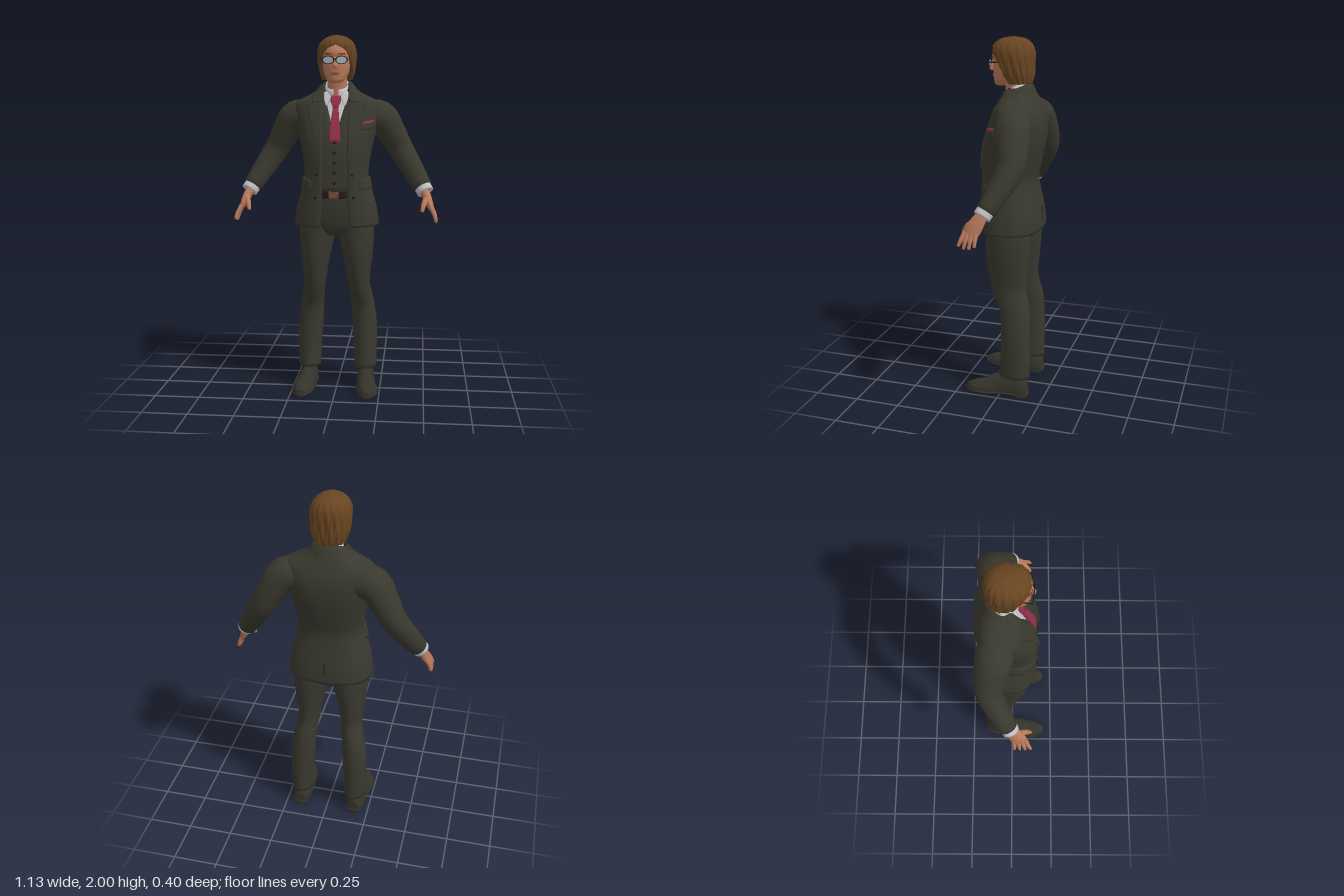
import * as THREE from 'three';
import { mergeVertices } from 'three/addons/utils/BufferGeometryUtils.js';

const mat = (name, color, side = THREE.FrontSide) => {
  const m = new THREE.MeshStandardMaterial({ color, side });
  m.name = name;
  return m;
};

export function createModel() {
  const man = new THREE.Group();
  man.name = 'suitedMan';
  const D = THREE.DoubleSide;
  const suit = mat('suit cloth', 0x3a392f, D), leather = mat('shoe leather', 0x34332b);
  const white = mat('shirt', 0xc2c3c5, D), red = mat('tie', 0x93304a, D);
  const skin = mat('skin', 0xbb7a5c, D), brown = mat('hair', 0x694521, D);
  const glass = mat('lens', 0xa9b1ba, D), dark = mat('dark trim', 0x211f1c, D);
  const strap = mat('belt', 0x7d4d3a, D), lip = mat('lips', 0x955a48, D);

  const add = (name, geo, material, x = 0, y = 0, z = 0) => {
    const m = new THREE.Mesh(geo, material);
    m.name = name;
    m.position.set(x, y, z);
    man.add(m);
    return m;
  };

  // Skin a grid of points: rows run along the part, columns run around it
  const grid = (name, rows, material) => {
    const n = rows[0].length, idx = [];
    for (let i = 0; i < rows.length - 1; i++) for (let j = 0; j < n - 1; j++) {
      const a = i * n + j, b = a + 1, c = a + n, d = c + 1;
      idx.push(a, b, c, b, d, c);
    }
    let g = new THREE.BufferGeometry().setFromPoints(rows.flat());
    g.setIndex(idx);
    g = mergeVertices(g, 1e-5);
    g.computeVertexNormals();
    return add(name, g, material);
  };

  // Tapered limb through [x, y, z, radiusU, radiusV] stations
  const limb = (name, pts, material, { s = 1, ref = new THREE.Vector3(0, 0, 1), floor = -1, n = 20, per = 5 } = {}) => {
    const path = new THREE.CatmullRomCurve3(pts.map(p => new THREE.Vector3(p[0] * s, p[1], p[2])));
    const rad = new THREE.CatmullRomCurve3(pts.map(p => new THREE.Vector3(p[3], p[4] ?? p[3], 0)), false, 'catmullrom');
    const rows = [], N = (pts.length - 1) * per;
    const ring = (f, k) => {
      const c = path.getPoint(f), r = rad.getPoint(f), t = path.getTangent(f);
      const u = t.clone().cross(ref).normalize(), v = t.clone().cross(u);
      rows.push(Array.from({ length: n + 1 }, (_, j) => {
        const a = (j % n) / n * Math.PI * 2;
        const p = c.clone().addScaledVector(u, Math.cos(a) * r.x * k).addScaledVector(v, Math.sin(a) * r.y * k);
        p.y = Math.max(p.y, floor);
        return p;
      }));
    };
    ring(0, 0); ring(0, 0.8);
    for (let i = 0; i <= N; i++) ring(i / N, 1);
    ring(1, 0.75); ring(1, 0);
    return grid(name, rows, material);
  };

  // Upright body surface from [y, halfWidth, zFront, zBack] sections
  const surface = (table, n) => {
    const f = new THREE.CubicInterpolant(table.map(r => r[0]), new Float32Array(table.flatMap(r => r.slice(1))), 3);
    const pw = (v) => Math.sign(v) * Math.abs(v) ** (2 / n);
    return {
      point(t, y, d = 0) {
        const [w, a, b] = f.evaluate(y);
        return new THREE.Vector3(Math.max(w + d, 0) * pw(Math.sin(t)), y, (a + b) / 2 + Math.max((a - b) / 2 + d, 0) * pw(Math.cos(t)));
      },
      angle(x, y) {
        const w = f.evaluate(y)[0];
        return Math.sign(x) * Math.asin(Math.min(1, Math.abs(x) / w) ** (n / 2));
      },
    };
  };

  // Wrap around a surface, open at the front by angle open(y), with turned-in edges
  const shell = (name, surf, y0, y1, d, material, { open = null, ripple = null, lipIn = 0.015, N = 36, C = 56 } = {}) => {
    const row = (y, off) => {
      const a = open ? open(y) : 0, r = [];
      for (let j = 0; j <= C; j++) {
        const t = a + (Math.PI * 2 - 2 * a) * j / C;
        r.push(surf.point(t, y, off + (ripple ? ripple(t, y) : 0)));
      }
      if (open) {
        r.unshift(surf.point(a, y, off - lipIn));
        r.push(surf.point(-a, y, off - lipIn));
      }
      return r;
    };
    const rows = [row(y0, d - lipIn)];
    for (let i = 0; i <= N; i++) rows.push(row(y0 + (y1 - y0) * i / N, d));
    return grid(name, rows, material);
  };

  // Thin panel lying on a surface; rows are [y, x0, x1, y at x1], upwards
  const patch = (name, surf, rows, d, material, s = 1, thick = 0.008) => {
    if (s < 0) rows = rows.map(([y, a, b, y2 = y]) => [y2, -b, -a, y]);
    const fine = [];
    rows.forEach((r, i) => {
      const q = rows[i + 1], full = ([y, a, b, y2 = y]) => [y, a, b, y2];
      if (!q) return fine.push(full(r));
      for (let k = 0; k < 4; k++) fine.push(full(r).map((v, m) => v + (full(q)[m] - v) * k / 4));
    });
    const line = ([y, a, b, y2], off) => {
      const t0 = surf.angle(a, y), t1 = surf.angle(b, y2), r = [];
      for (let j = 0; j <= 8; j++) r.push(surf.point(t0 + (t1 - t0) * j / 8, y + (y2 - y) * j / 8, off));
      return [surf.point(t0, y, d - thick), ...r, surf.point(t1, y2, d - thick)];
    };
    const low = d - thick;
    return grid(name, [line(fine[0], low), ...fine.map(r => line(r, d)), line(fine.at(-1), low)], material);
  };

  // Torso: jacket, waistcoat and shirt share one form
  const torso = surface([
    [0.955, 0.237, 0.142, -0.192], [1.05, 0.224, 0.143, -0.186], [1.15, 0.198, 0.143, -0.168],
    [1.24, 0.178, 0.143, -0.156], [1.35, 0.19, 0.14, -0.176], [1.45, 0.212, 0.122, -0.195],
    [1.55, 0.232, 0.086, -0.197], [1.61, 0.243, 0.06, -0.183], [1.645, 0.222, 0.045, -0.167],
    [1.67, 0.165, 0.033, -0.155], [1.70, 0.115, 0.02, -0.14], [1.735, 0.088, 0.005, -0.125]], 2.5);
  const jacketEdge = y => torso.angle(y > 1.2 ? 0.072 : 0.072 + 0.25 * (1.2 - y) ** 2, y);
  shell('jacket', torso, 0.955, 1.735, 0, suit, { open: jacketEdge, N: 50 });
  shell('waistcoat', torso, 1.16, 1.69, -0.01, suit, { open: y => torso.angle(Math.max(0, (y - 1.44) * 0.3), y) });
  shell('shirt', torso, 1.4, 1.72, -0.022, white);
  patch('tieBlade', torso, [[1.42, -0.03, 0.03], [1.5, -0.028, 0.028], [1.61, -0.015, 0.015]], -0.004, red, 1, 0.018);
  patch('tieKnot', torso, [[1.605, -0.014, 0.014], [1.64, -0.028, 0.028], [1.67, -0.028, 0.028]], 0.002, red, 1, 0.02);
  patch('backVent', torso, [[0.957, -0.002, 0.002], [1.08, -0.002, 0.002]], 0.001, dark).rotation.y = 0;
  man.children.at(-1).geometry.dispose();
  man.children.at(-1).geometry = new THREE.BoxGeometry(0.005, 0.12, 0.005).translate(0, 1.02, -0.187);

  const button = (x, y, d) => {
    const p = torso.point(torso.angle(x, y), y, d);
    add('button', new THREE.SphereGeometry(0.009, 10, 8), dark, p.x, p.y, p.z).scale.z = 0.5;
  };
  for (let i = 0; i < 5; i++) button(0, 1.2 + i * 0.055, -0.008);

  // Collars: tilted bands round the neck
  const collar = (name, sections, open, material) => grid(name, sections.map(([y, rx, rz, zc, tilt]) =>
    Array.from({ length: 33 }, (_, j) => {
      const t = open + (Math.PI * 2 - 2 * open) * j / 32;
      return new THREE.Vector3(rx * Math.sin(t), y - tilt * Math.cos(t), zc + rz * Math.cos(t));
    })), material);
  collar('shirtCollar', [[1.68, 0.078, 0.068, -0.034, 0.035], [1.715, 0.07, 0.066, -0.034, 0.035], [1.735, 0.064, 0.062, -0.03, 0.033], [1.72, 0.058, 0.056, -0.03, 0.033]], 0.2, white);
  collar('jacketCollar', [[1.67, 0.118, 0.095, -0.058, 0.02], [1.70, 0.108, 0.085, -0.053, 0.025], [1.73, 0.089, 0.075, -0.045, 0.03], [1.715, 0.08, 0.066, -0.045, 0.03]], 0.8, suit);

  // Trousers seat, belt and buckle
  const hips = surface([[0.9, 0.1, 0.07, -0.13], [0.94, 0.17, 0.095, -0.148], [1.0, 0.195, 0.112, -0.155],
    [1.07, 0.19, 0.122, -0.152], [1.13, 0.172, 0.125, -0.14], [1.2, 0.16, 0.125, -0.135]], 2.4);
  shell('trouserSeat', hips, 0.9, 1.2, 0, suit, { lipIn: 0.09 });
  shell('belt', hips, 1.115, 1.155, 0.006, dark, { N: 3 });
  patch('beltFront', hips, [[1.117, -0.03, 0.022], [1.153, -0.03, 0.022]], 0.009, strap);
  add('buckle', new THREE.TorusGeometry(0.022, 0.004, 6, 4, Math.PI * 2).rotateZ(Math.PI / 4), strap, -0.004, 1.135, 0.137);

  for (const s of [1, -1]) {
    // Jacket fronts
    patch('lapel', torso, [[1.29, 0.071, 0.074], [1.4, 0.07, 0.1], [1.5, 0.07, 0.125], [1.6, 0.07, 0.153], [1.632, 0.07, 0.16]], 0.009, suit, s);
    patch('collarLeaf', torso, [[1.64, 0.07, 0.125, 1.625], [1.67, 0.067, 0.13], [1.7, 0.066, 0.105], [1.725, 0.064, 0.088]], 0.008, suit, s);
    patch('pocketFlap', torso, [[1.16, 0.13, 0.21, 1.168], [1.215, 0.13, 0.21, 1.228]], 0.008, suit, s);
    patch('shirtCollarPoint', torso, [[1.615, 0.05, 0.054], [1.645, 0.034, 0.066], [1.69, 0.012, 0.074]], -0.006, white, s, 0.014);
    button(0.096 * s, 1.245, 0.002);
    button(0.105 * s, 1.12, 0.002);

    // Sleeve, cuff and hand
    limb('sleeve', [[0.15, 1.555, -0.075, 0.085, 0.095], [0.235, 1.55, -0.088, 0.094, 0.098], [0.3, 1.465, -0.107, 0.08, 0.088],
      [0.355, 1.37, -0.115, 0.07, 0.074], [0.42, 1.265, -0.075, 0.062, 0.062], [0.48, 1.165, -0.022, 0.053, 0.052]], suit, { s });
    limb('shirtCuff', [[0.474, 1.176, -0.026, 0.047], [0.496, 1.14, -0.006, 0.047]], white, { s });
    limb('hand', [[0.484, 1.155, -0.012, 0.027, 0.03], [0.506, 1.11, 0.014, 0.024, 0.04], [0.522, 1.07, 0.035, 0.019, 0.044], [0.532, 1.047, 0.046, 0.012, 0.038]], skin, { s });
    for (let i = -1.5; i < 2; i++)
      limb('finger', [[0.526, 1.066, 0.042 + i * 0.021, 0.012], [0.547, 1.022, 0.052 + i * 0.025, 0.011],
        [0.556, 0.975 + 0.012 * Math.abs(i), 0.058 + i * 0.029, 0.008]], skin, { s, n: 10 });
    limb('thumb', [[0.502, 1.115, 0.035, 0.016], [0.486, 1.08, 0.078, 0.014], [0.478, 1.045, 0.1, 0.009]], skin, { s, n: 10 });

    // Trouser leg and shoe
    limb('trouserLeg', [[0.103, 1.05, -0.02, 0.09, 0.125], [0.11, 0.92, -0.027, 0.101, 0.127], [0.12, 0.78, -0.025, 0.083, 0.12],
      [0.126, 0.62, -0.037, 0.061, 0.098], [0.143, 0.5, -0.075, 0.064, 0.085], [0.155, 0.38, -0.083, 0.071, 0.083],
      [0.161, 0.22, -0.082, 0.066, 0.085], [0.161, 0.112, -0.077, 0.064, 0.09]], suit, { s, n: 28 });
    const up = new THREE.Vector3(0, 1, 0);
    limb('shoe', [[0.165, 0.03, -0.155, 0.032, 0.06], [0.165, 0.03, -0.12, 0.046, 0.085], [0.165, 0.03, -0.04, 0.048, 0.095], [0.169, 0.025, 0.03, 0.053, 0.085],
      [0.18, 0.02, 0.09, 0.058, 0.058], [0.184, 0.02, 0.15, 0.05, 0.042], [0.181, 0.02, 0.195, 0.022, 0.022]], leather, { s, ref: up, floor: 0.014 });
    limb('shoeSole', [[0.165, 0.014, -0.16, 0.034, 0.01], [0.166, 0.014, -0.11, 0.05, 0.012], [0.168, 0.014, 0, 0.053, 0.012],
      [0.181, 0.014, 0.09, 0.062, 0.013], [0.185, 0.014, 0.155, 0.052, 0.013], [0.181, 0.014, 0.202, 0.02, 0.01]], leather, { s, ref: up });
    add('shoeHeel', new THREE.CylinderGeometry(0.048, 0.048, 0.02, 20), leather, 0.165 * s, 0.01, -0.115);
  }
  patch('breastPocket', torso, [[1.485, 0.145, 0.205, 1.495], [1.515, 0.145, 0.21, 1.53]], 0.006, suit);
  patch('pocketSquare', torso, [[1.515, 0.15, 0.208, 1.53], [1.53, 0.152, 0.21, 1.542]], 0.007, red);

  // Neck and head
  limb('neck', [[0, 1.64, -0.04, 0.056, 0.054], [0, 1.72, -0.032, 0.054, 0.052], [0, 1.81, -0.025, 0.058, 0.06]], skin);
  const head = surface([[1.738, 0.018, 0.07, 0.03], [1.748, 0.038, 0.081, 0], [1.77, 0.056, 0.085, -0.04], [1.8, 0.069, 0.088, -0.08],
    [1.835, 0.075, 0.09, -0.1], [1.868, 0.078, 0.088, -0.105], [1.89, 0.08, 0.095, -0.11], [1.93, 0.078, 0.083, -0.11], [1.965, 0.055, 0.05, -0.085]], 2.2);
  shell('head', head, 1.738, 1.965, 0, skin, { lipIn: 0.05 });
  limb('nose', [[0, 1.878, 0.088, 0.008, 0.008], [0, 1.85, 0.096, 0.01, 0.012], [0, 1.828, 0.1, 0.014, 0.014], [0, 1.819, 0.096, 0.011, 0.008]], skin, { n: 12 });
  patch('mouth', head, [[1.782, -0.014, 0.014], [1.79, -0.025, 0.025], [1.797, -0.012, 0.012]], 0.003, lip, 1, 0.004);

  // Swept hair, parted over the forehead
  const mop = surface([[1.755, 0.08, 0.03, -0.122], [1.8, 0.096, 0.052, -0.132], [1.86, 0.104, 0.075, -0.135], [1.92, 0.103, 0.09, -0.135],
    [1.955, 0.09, 0.084, -0.124], [1.98, 0.064, 0.058, -0.1], [1.994, 0.034, 0.024, -0.068], [2.0, 0.001, -0.02, -0.022]], 2.2);
  const part = new THREE.CubicInterpolant([1.755, 1.8, 1.85, 1.9, 1.925, 1.945, 2], new Float32Array([1.25, 1.1, 0.92, 0.66, 0.4, 0, 0]), 1);
  shell('hair', mop, 1.755, 2, 0, brown, {
    open: y => Math.max(0, part.evaluate(y)[0]), lipIn: 0.022, C: 96,
    ripple: (t, y) => (0.0025 * Math.sin(17 * t + 25 * y) + 0.002 * Math.sin(31 * t - 18 * y)) * Math.min(1, (2 - y) / 0.05),
  });

  // Spectacles and eyebrows
  for (const s of [1, -1]) {
    const lens = add('lens', new THREE.CircleGeometry(0.025, 20), glass, 0.036 * s, 1.861, 0.1);
    const rim = add('lensRim', new THREE.TorusGeometry(0.026, 0.0025, 6, 24), dark, 0.036 * s, 1.861, 0.1);
    for (const m of [lens, rim]) { m.scale.set(1.2, 0.78, 1); m.rotation.y = 0.15 * s; }
    add('templeArm', new THREE.BoxGeometry(0.004, 0.007, 0.1), dark, 0.074 * s, 1.868, 0.046).rotation.y = 0.12 * s;
    patch('eyebrow', head, [[1.889, 0.014, 0.055, 1.891], [1.896, 0.016, 0.05, 1.899]], 0.003, brown, s, 0.004);
  }
  add('noseBridge', new THREE.BoxGeometry(0.016, 0.004, 0.004), dark, 0, 1.866, 0.103);
  return man;
}
